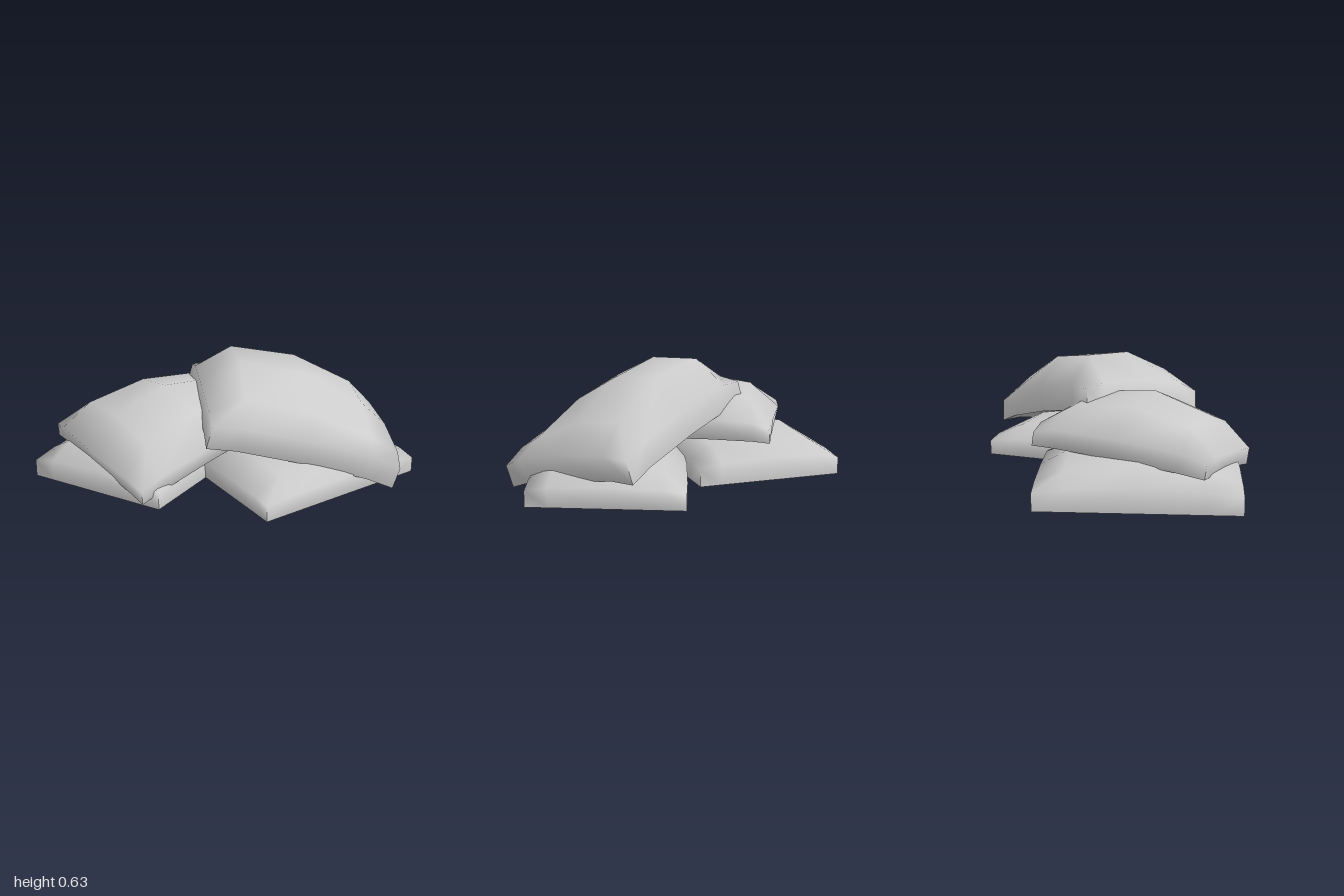
import * as THREE from 'three';

const material = new THREE.MeshStandardMaterial({ color: 0xcccccc, side: THREE.DoubleSide });

// Parameter stops across a bag; the doubled ends form the short side skirt.
const STOPS = [0, 0, 0.15, 0.5, 0.85, 1, 1];
const SWELL = [0, 0, 0.7, 1, 0.7, 0, 0];
const N = STOPS.length;

// Smooth sheet over the stops; point(i, j) gives each vertex.
function sheet(name, point, facesDown) {
  const positions = [];
  const indices = [];
  for (let j = 0; j < N; j++) {
    for (let i = 0; i < N; i++) {
      positions.push(...point(i, j).toArray());
      if (i === N - 1 || j === N - 1) continue;
      const k = j * N + i;
      if (facesDown) indices.push(k, k + 1, k + N, k + 1, k + N + 1, k + N);
      else indices.push(k, k + N, k + 1, k + 1, k + N, k + N + 1);
    }
  }
  const geometry = new THREE.BufferGeometry();
  geometry.setAttribute('position', new THREE.Float32BufferAttribute(positions, 3));
  geometry.setIndex(indices);
  geometry.computeVertexNormals();
  const mesh = new THREE.Mesh(geometry, material);
  mesh.name = name;
  return mesh;
}

// One pillow spanned over four rim corners (a-b back edge, d-c front edge).
function bag(name, corners, { skirt, edge, crown, lean = 0, lift = 0, bulge = 0, underside = false }) {
  const [a, b, c, d] = corners.map((p) => new THREE.Vector3(...p));
  const centre = new THREE.Vector3().add(a).add(b).add(c).add(d).multiplyScalar(0.25);
  const normal = new THREE.Vector3()
    .crossVectors(d.clone().add(c).sub(a).sub(b), b.clone().add(c).sub(a).sub(d))
    .normalize();

  const flat = (i, j) => a.clone().lerp(b, STOPS[i]).lerp(d.clone().lerp(c, STOPS[i]), STOPS[j]);
  const base = (i, j) => flat(i, j).addScaledVector(normal, lift * (SWELL[i] + SWELL[j]));

  const top = (i, j) => {
    if (i === 0 || j === 0 || i === N - 1 || j === N - 1) return base(i, j);
    const u = STOPS[i], v = STOPS[j], gu = SWELL[i], gv = SWELL[j];
    const p = flat(i, j);
    // Shoulders swell outward above the rim
    if (gu * gv === 0) p.addScaledVector(p.clone().sub(centre).normalize(), bulge * (gu + gv));
    const fill = crown * (1 + lean * (1 - u - v));
    return p.addScaledVector(normal, skirt + edge * (gu + gv) + fill * gu * gv);
  };

  const group = new THREE.Group();
  group.name = name;
  group.add(sheet('cover', top, false));
  if (underside) group.add(sheet('underside', base, true));
  return group;
}

export function createModel() {
  const group = new THREE.Group();
  group.name = 'bagPile';

  // Two open bags flat on the ground
  group.add(bag('lowerBagRight',
    [[-1, 0, 0.01], [-0.34, 0, -0.755], [0.27, 0, -0.25], [-0.4, 0, 0.53]],
    { skirt: 0.09, edge: 0.03, crown: 0.09 }));
  group.add(bag('lowerBagLeft',
    [[-0.14, 0, 0.12], [0.66, 0, -0.4], [1, 0, 0.3], [0.1, 0, 0.75]],
    { skirt: 0.08, edge: 0.03, crown: 0.09, bulge: 0.02 }));

  // Two bags slumped over them
  group.add(bag('upperBagRight',
    [[-0.87, 0.17, -0.13], [0.02, 0.21, -0.52], [0.2, 0.2, 0.1], [-0.48, 0.04, 0.54]],
    { skirt: 0.07, edge: 0.05, crown: 0.16, lift: 0.01, bulge: 0.04, underside: true }));
  group.add(bag('upperBagLeft',
    [[-0.14, 0.38, -0.28], [0.83, 0.14, -0.21], [0.81, 0.02, 0.53], [-0.15, 0.28, 0.46]],
    { skirt: 0.12, edge: 0.05, crown: 0.14, lean: 1.2, lift: 0.03, bulge: 0.015, underside: true }));

  return group;
}
